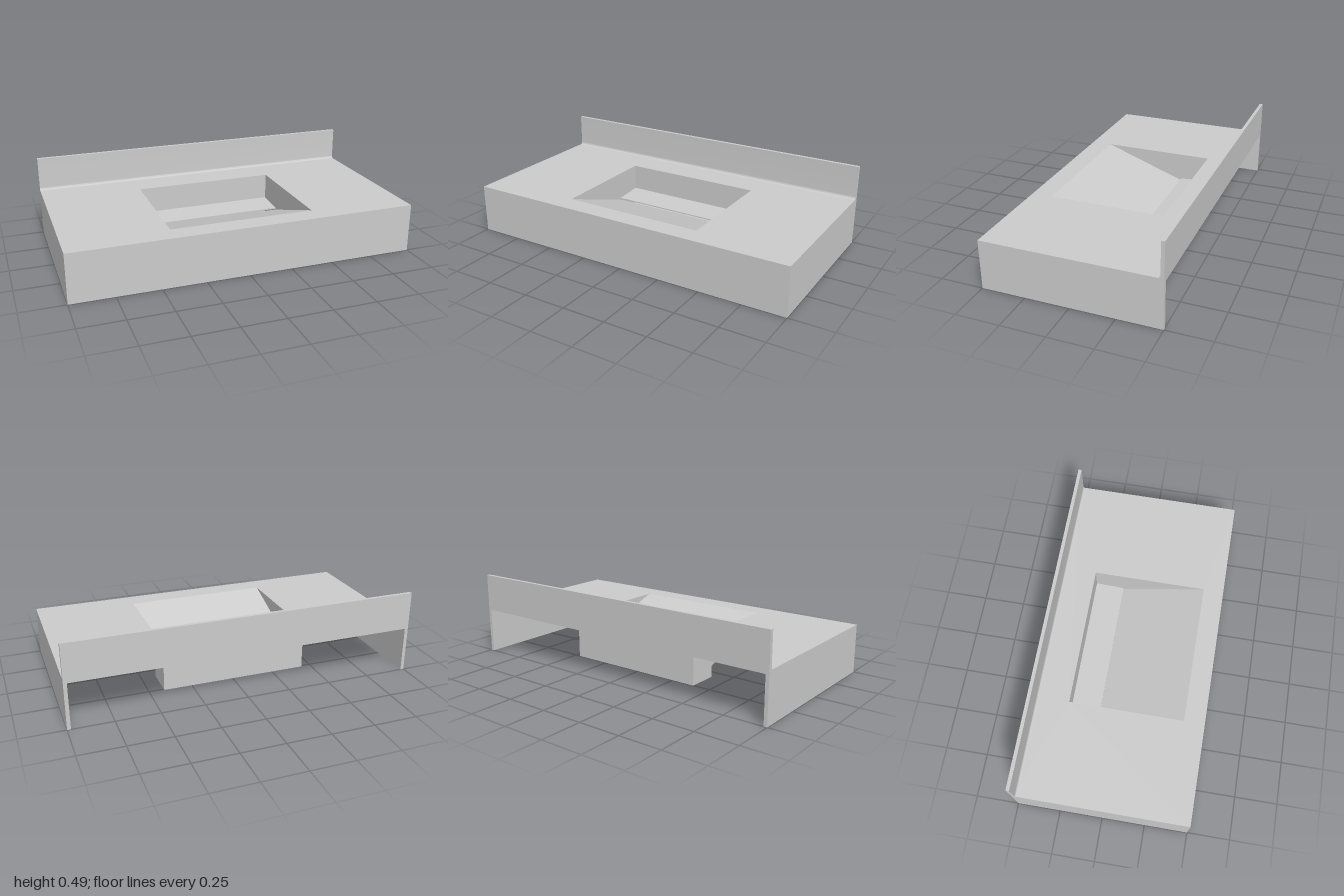
import * as THREE from 'three';
import { toCreasedNormals } from 'three/addons/utils/BufferGeometryUtils.js';

const TOP = 0.285, T = 0.02;                 // counter height, slab thickness
const BX = 0.418, BZ0 = -0.29, BZ1 = 0.38;   // basin opening
const LIP = -0.118, RAMP_END = 0.105;        // lower end of the ramp
const FLOOR = 0.02, WALL = 0.006;            // trough underside, shell thickness

export function createModel() {
  const group = new THREE.Group();
  group.name = 'vanityTop';
  const material = new THREE.MeshStandardMaterial({ color: 0xcccccc, side: THREE.DoubleSide });

  const add = (name, geometry) => {
    const mesh = new THREE.Mesh(geometry, material);
    mesh.name = name;
    group.add(mesh);
  };
  const polygon = (points) => new THREE.Shape(points.map(([a, b]) => new THREE.Vector2(a, b)));
  const rectangle = (x, z0, z1) => [[-x, -z1], [x, -z1], [x, -z0], [-x, -z0]];

  // Plan outline (x, -z) raised from y0 to y1
  const slab = (shape, y0, y1) =>
    new THREE.ExtrudeGeometry(shape, { depth: y1 - y0, bevelEnabled: false, curveSegments: 32 })
      .rotateX(-Math.PI / 2).translate(0, y0, 0);
  // Side profile (z, y) swept across x0 to x1
  const sweep = (shape, x0, x1) =>
    new THREE.ExtrudeGeometry(shape, { depth: x1 - x0, bevelEnabled: false, curveSegments: 8 })
      .rotateY(-Math.PI / 2).translate(x1, 0, 0);

  // Counter with the basin opening
  const counter = polygon(rectangle(1, -0.5, 0.5));
  counter.holes.push(polygon(rectangle(BX, BZ0, BZ1)));
  add('counter', slab(counter, TOP - T, TOP));

  // Apron around front and sides, open at the back
  add('apron', slab(polygon([
    [-1, 0.5], [-1, -0.5], [1, -0.5], [1, 0.5],
    [1 - T, 0.5], [1 - T, -0.5 + T], [-1 + T, -0.5 + T], [-1 + T, 0.5],
  ]), 0, TOP - T));

  // Backsplash with a small cove at its foot
  const splash = new THREE.Shape();
  splash.moveTo(-0.5, TOP);
  splash.lineTo(-0.465, TOP);
  splash.quadraticCurveTo(-0.48, TOP, -0.48, TOP + 0.015);
  splash.lineTo(-0.48, 0.485);
  splash.lineTo(-0.5, 0.485);
  add('backsplash', toCreasedNormals(sweep(splash, -1, 1), 0.6));

  // Sloping basin floor
  add('basinRamp', sweep(polygon([
    [BZ1, TOP], [LIP, RAMP_END], [LIP, RAMP_END - T], [BZ1, TOP - T],
  ]), -BX, BX));

  // Basin side walls
  for (const side of [-1, 1]) {
    const wall = polygon([
      [BZ1, TOP - 0.001], [BZ0, TOP - 0.001], [BZ0, FLOOR], [LIP, FLOOR],
      [LIP, RAMP_END - T], [BZ1, TOP - T],
    ]);
    const x = side * (BX + WALL / 2);
    add(side > 0 ? 'basinWallLeft' : 'basinWallRight', sweep(wall, x - WALL / 2, x + WALL / 2));
  }

  // Back wall, front wall and drained floor of the trough
  const width = 2 * (BX + WALL);
  const back = TOP - 0.001 - FLOOR;
  add('troughBack', new THREE.BoxGeometry(width, back, WALL)
    .translate(0, FLOOR + back / 2, BZ0 - WALL / 2));
  const front = RAMP_END - 0.01 - FLOOR;
  add('troughFront', new THREE.BoxGeometry(2 * BX, front, WALL)
    .translate(0, FLOOR + front / 2, LIP - WALL / 2));
  const floor = polygon(rectangle(BX, BZ0, LIP));
  floor.holes.push(new THREE.Path().absarc(0, -(BZ0 + LIP) / 2, 0.04, 0, Math.PI * 2, true));
  add('troughFloor', slab(floor, FLOOR, FLOOR + 0.01));

  // Tilted plate hiding the drain, with a slot along its front edge
  add('drainCover', sweep(polygon([
    [BZ0, 0.13], [BZ0, 0.122], [LIP, 0.111], [LIP, 0.118],
  ]), -BX, BX));

  return group;
}
